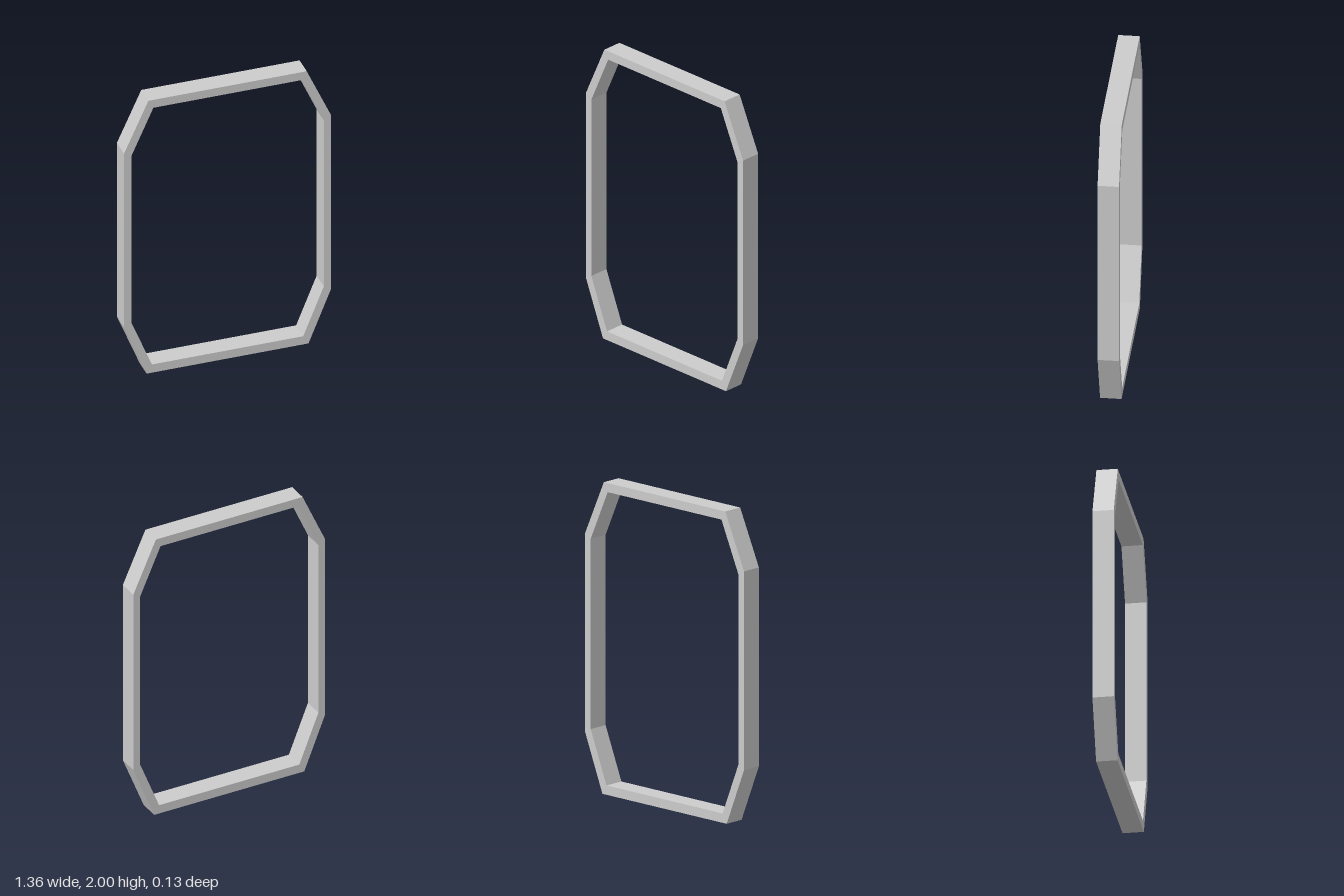
import * as THREE from 'three';

const DEPTH = 0.134;

// Mirror right-hand points (bottom to top) into a closed octagonal outline
function outline(half) {
  const mirrored = half.map(([x, y]) => [-x, y]).reverse();
  return [...half, ...mirrored].map(([x, y]) => new THREE.Vector2(x, y));
}

export function createModel() {
  const group = new THREE.Group();
  group.name = 'octagonalFrame';

  // Outer edge of the frame with its opening cut out
  const shape = new THREE.Shape(outline([[0.532, 0], [0.68, 0.37], [0.68, 1.645], [0.52, 2]]));
  shape.holes.push(new THREE.Path(outline([[0.497, 0.06], [0.632, 0.397], [0.632, 1.617], [0.487, 1.942]])));

  const geometry = new THREE.ExtrudeGeometry(shape, { depth: DEPTH, bevelEnabled: false });
  geometry.translate(0, 0, -DEPTH / 2);

  const material = new THREE.MeshStandardMaterial({ color: 0xcccccc, flatShading: true });
  const frame = new THREE.Mesh(geometry, material);
  frame.name = 'frame';
  group.add(frame);
  return group;
}
